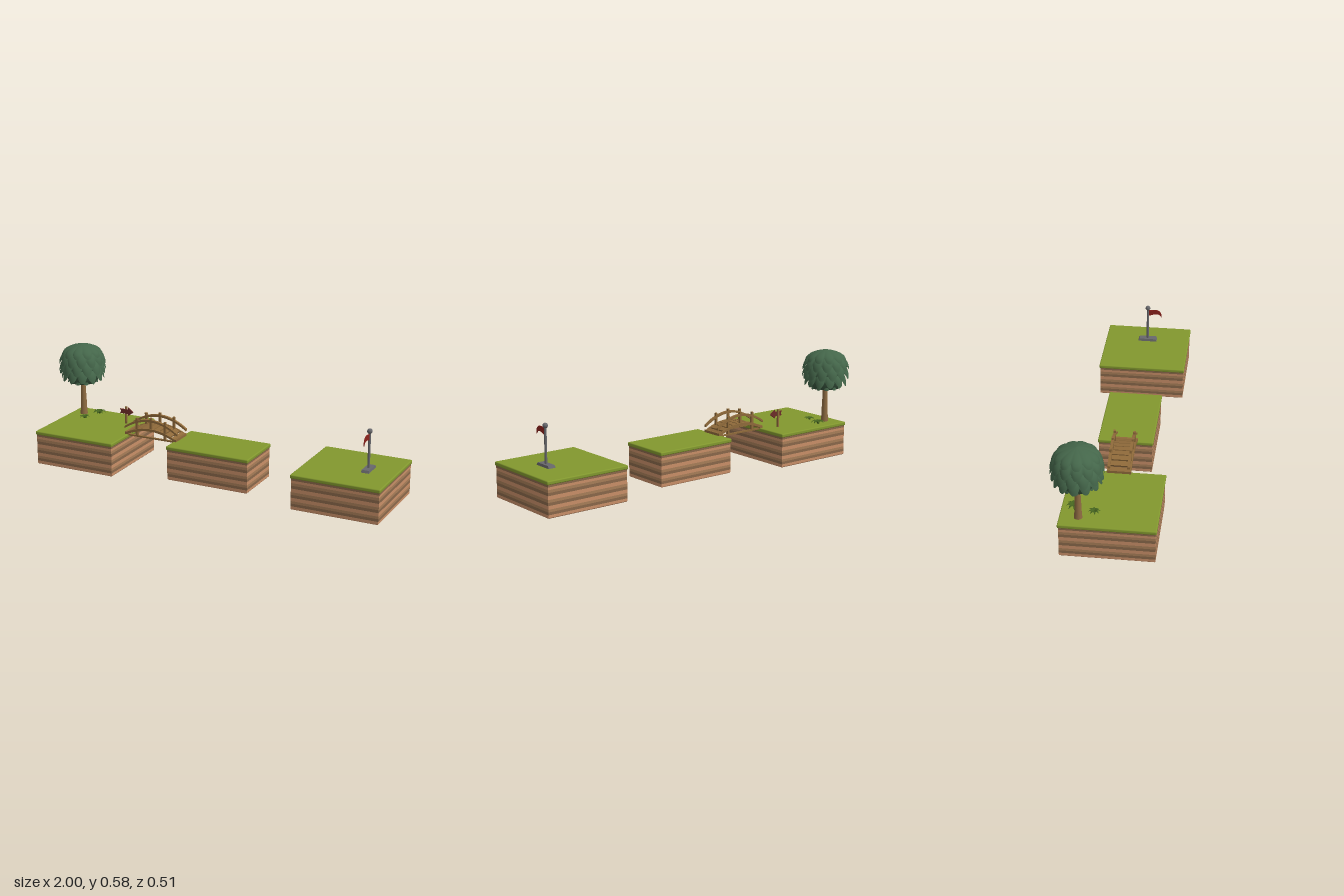
import * as THREE from 'three';
import { RoundedBoxGeometry } from 'three/addons/geometries/RoundedBoxGeometry.js';

const mat = (color, opts = {}) => new THREE.MeshStandardMaterial({ color, ...opts });
const M = {
  grass: mat(0x82982e), soil: mat(0x6e5238),
  bands: [0xc98f68, 0x8a684a, 0xa87e58].map(c => mat(c, { flatShading: true })),
  wood: mat(0x8f6a3a, { flatShading: true }), bark: mat(0x8f6c42),
  leaf: mat(0x44664a, { side: THREE.DoubleSide }), leafDark: mat(0x3a5840),
  fern: mat(0x46641f, { side: THREE.DoubleSide }),
  red: mat(0x8c221c), sign: mat(0x6e2c28), steel: mat(0x68686c),
};

function add(parent, name, geo, material, x = 0, y = 0, z = 0) {
  const m = new THREE.Mesh(geo, material);
  m.name = name;
  m.position.set(x, y, z);
  parent.add(m);
  return m;
}
function group(parent, name, x = 0, y = 0, z = 0) {
  const g = new THREE.Group();
  g.name = name;
  g.position.set(x, y, z);
  parent.add(g);
  return g;
}

const TOP = 0.184; // ground level on the islands

// Square island: layered earth bands under a rounded grass slab
function island(parent, x, w, d) {
  const g = group(parent, 'island', x, 0, 0.0185);
  const cuts = [0.004, 0.018, 0.032, 0.045, 0.063, 0.078, 0.092, 0.111, 0.126, 0.14, 0.153, 0.168];
  const band = (y0, y1, material, shrink = 0) => {
    const k = Math.SQRT1_2;
    const geo = new THREE.CylinderGeometry(k, k * (1 - shrink), y1 - y0, 4, 1, true);
    geo.rotateY(Math.PI / 4).scale(w, 1, d);
    add(g, 'earthLayer', geo, material, 0, (y0 + y1) / 2, 0);
  };
  band(0, cuts[0], M.bands[0], 0.015);
  for (let i = 0; i < cuts.length - 1; i++) band(cuts[i], cuts[i + 1], M.bands[i % 3]);
  const base = new THREE.PlaneGeometry(w * 0.985, d * 0.985).rotateX(Math.PI / 2);
  add(g, 'underside', base, M.soil);
  add(g, 'grass', new RoundedBoxGeometry(w + 0.011, 0.02, d + 0.011, 3, 0.006), M.grass, 0, TOP - 0.01, 0);
}

// One skirt of overlapping scale leaves with a scalloped lower edge
function leafTier(n, r0, y0, r1, y1, turn) {
  const rows = 8, geo = new THREE.CylinderGeometry(1, 1, 1, n * 8, rows, true);
  const p = geo.attributes.position, uv = geo.attributes.uv;
  for (let i = 0; i < p.count; i++) {
    const u = uv.getX(i), v = 1 - uv.getY(i);
    const side = Math.abs(((u * n) % 1) - 0.5) * 2;
    const reach = v * (1 - 0.3 * side ** 2.2);
    const r = r0 + (r1 - r0) * Math.sin(reach * Math.PI / 2) - 0.008 * v * side ** 2;
    const a = u * Math.PI * 2 + turn;
    const drop = 0.35 * reach + 0.65 * reach * reach;
    p.setXYZ(i, Math.max(r, 0) * Math.sin(a), y0 + (y1 - y0) * drop, Math.max(r, 0) * Math.cos(a));
  }
  geo.computeVertexNormals();
  return geo;
}

function tree(parent) {
  const g = group(parent, 'tree', -0.872, 0, -0.125);
  const trunk = [[0.021, TOP - 0.004], [0.018, 0.21], [0.016, 0.27], [0.013, 0.34], [0.014, 0.39]];
  add(g, 'trunk', new THREE.LatheGeometry(trunk.map(a => new THREE.Vector2(...a)), 14), M.bark);
  const tiers = [ // leaves, top radius, top height, rim radius, rim height
    [11, 0, 0.582, 0.113, 0.519],
    [13, 0.07, 0.55, 0.127, 0.474],
    [13, 0.08, 0.51, 0.128, 0.427],
    [12, 0.075, 0.465, 0.116, 0.386],
    [11, 0.06, 0.42, 0.082, 0.366],
  ];
  tiers.forEach((t, i) => add(g, 'leafTier', leafTier(...t, i * 0.26), M.leaf));
  const core = [[0.001, 0.369], [0.076, 0.37], [0.095, 0.42], [0.1, 0.48], [0.075, 0.53], [0.001, 0.565]];
  add(g, 'canopyCore', new THREE.LatheGeometry(core.map(a => new THREE.Vector2(...a)), 24), M.leafDark);
}

// Tuft of thin arched blades
function fern(parent, x, z, size) {
  const g = group(parent, 'fern', x, TOP, z);
  for (let k = 0; k < 8; k++) {
    const geo = new THREE.PlaneGeometry(1, 1, 2, 6), p = geo.attributes.position;
    for (let i = 0; i < p.count; i++) {
      const t = p.getY(i) + 0.5, s = p.getX(i);
      const half = 0.22 * size * Math.sin(Math.PI * (0.12 + 0.88 * t));
      p.setXYZ(i, s * half * 2, size * (1.5 * t - 1.3 * t * t) * 1.25 - Math.abs(s) * 0.004, t * size);
    }
    geo.computeVertexNormals();
    add(g, 'blade', geo, M.fern).rotation.y = k * Math.PI / 4 + 0.2;
  }
}

// Strip of constant height following a parabola, extruded along z
function archGeometry(half, y, rise, h, depth) {
  const at = t => y + rise * (1 - t * t), s = new THREE.Shape(), N = 12;
  for (let i = 0; i <= N; i++) {
    const t = i / N * 2 - 1;
    i ? s.lineTo(t * half, at(t) - h / 2) : s.moveTo(-half, at(-1) - h / 2);
  }
  for (let i = N; i >= 0; i--) {
    const t = i / N * 2 - 1;
    s.lineTo(t * half, at(t) + h / 2);
  }
  return new THREE.ExtrudeGeometry(s, { depth, bevelEnabled: false }).translate(0, 0, -depth / 2);
}

function bridge(parent) {
  const g = group(parent, 'bridge', -0.342, 0, 0.0205);
  const deck = { half: 0.147, y: 0.188, rise: 0.038 };
  for (let i = 0; i < 9; i++) {
    const t = (i - 4) / 4.3;
    const plank = add(g, 'plank', new THREE.BoxGeometry(0.029, 0.009, 0.112), M.wood,
      t * deck.half, deck.y + deck.rise * (1 - t * t), 0);
    plank.rotation.z = Math.atan(-2 * deck.rise * t / deck.half);
  }
  for (const s of [-1, 1]) {
    add(g, 'stringer', archGeometry(deck.half, deck.y, deck.rise, 0.013, 0.009), M.wood, 0, 0, s * 0.056);
    add(g, 'beam', new THREE.BoxGeometry(0.28, 0.008, 0.01), M.wood, 0, 0.181, s * 0.05);
    add(g, 'handrail', archGeometry(0.157, 0.22, 0.055, 0.012, 0.014), M.wood, 0, 0, s * 0.049);
    for (const x of [-0.083, 0, 0.083]) {
      const top = x ? 0.28 : 0.292, bottom = x ? 0.182 : 0.215;
      add(g, 'post', new THREE.BoxGeometry(0.012, top - bottom, 0.012), M.wood, x, (top + bottom) / 2, s * 0.05);
    }
  }
  for (const s of [-1, 1]) // end sills
    add(g, 'sill', new THREE.BoxGeometry(0.02, 0.014, 0.12), M.wood, s * 0.143, 0.19, 0);
}

function signpost(parent) {
  const g = group(parent, 'signpost', -0.574, 0, -0.0735);
  add(g, 'signPole', new THREE.BoxGeometry(0.01, 0.097, 0.009), M.wood, 0, TOP + 0.0475, 0);
  const pts = [[-0.032, -0.012], [0.018, -0.012], [0.018, -0.023], [0.05, 0], [0.018, 0.023], [0.018, 0.012], [-0.032, 0.012], [-0.024, 0]];
  const s = new THREE.Shape(pts.map(a => new THREE.Vector2(...a)));
  add(g, 'arrowBoard', new THREE.ExtrudeGeometry(s, { depth: 0.007, bevelEnabled: false }), M.sign, 0, 0.255, 0.0045);
}

function flag(parent) {
  const g = group(parent, 'flag', 0.851, 0, 0.019);
  const foot = new THREE.CylinderGeometry(0.88 * Math.SQRT1_2, Math.SQRT1_2, 0.014, 4, 1).toNonIndexed();
  foot.rotateY(Math.PI / 4).scale(0.042, 1, 0.105).computeVertexNormals();
  add(g, 'foot', foot, M.steel, 0, TOP + 0.006, 0);
  add(g, 'pole', new THREE.CylinderGeometry(0.0065, 0.0065, 0.196, 14), M.steel, 0, 0.285, 0);
  add(g, 'finial', new THREE.SphereGeometry(0.0135, 20, 14), M.steel, 0, 0.386, 0);
  // Waving pennant in the yz plane
  const s = new THREE.Shape();
  s.moveTo(0, 0.337);
  s.bezierCurveTo(0.03, 0.345, 0.06, 0.365, 0.077, 0.331);
  s.quadraticCurveTo(0.078, 0.35, 0.071, 0.362);
  s.bezierCurveTo(0.055, 0.386, 0.03, 0.373, 0, 0.372);
  const geo = new THREE.ExtrudeGeometry(s, { depth: 0.004, bevelEnabled: false, curveSegments: 14 });
  add(g, 'pennant', geo.translate(0, 0, -0.002).rotateY(-Math.PI / 2), M.red);
}

export function createModel() {
  const root = new THREE.Group();
  root.name = 'floatingIslands';
  island(root, -0.71, 0.457, 0.459);
  island(root, 0.026, 0.457, 0.272);
  island(root, 0.764, 0.457, 0.459);
  tree(root);
  fern(root, -0.825, -0.055, 0.029);
  fern(root, -0.792, -0.157, 0.037);
  signpost(root);
  bridge(root);
  flag(root);
  return root;
}
